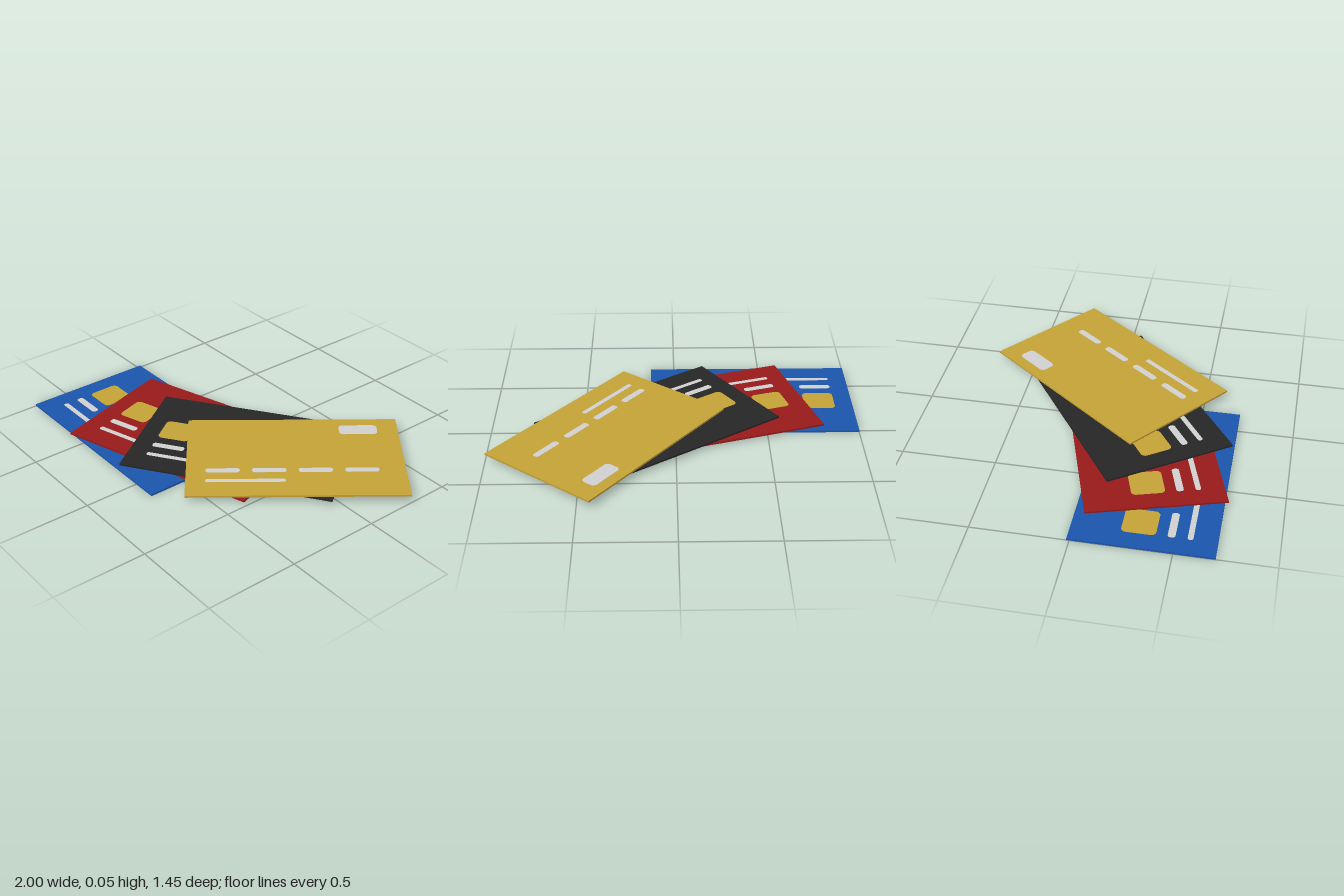
import * as THREE from 'three';

const CARD_W = 1.137, CARD_D = 0.718, CARD_T = 0.01;
const PROUD = 0.0005; // how far the inlays stand out of each face

// Flat rounded rectangle lying in the xz plane, centred on the origin
function roundedPlate(w, d, r, t) {
  const x = w / 2, y = d / 2;
  const s = new THREE.Shape();
  s.moveTo(-x + r, -y);
  s.lineTo(x - r, -y).absarc(x - r, -y + r, r, -Math.PI / 2, 0);
  s.lineTo(x, y - r).absarc(x - r, y - r, r, 0, Math.PI / 2);
  s.lineTo(-x + r, y).absarc(-x + r, y - r, r, Math.PI / 2, Math.PI);
  s.lineTo(-x, -y + r).absarc(-x + r, -y + r, r, Math.PI, Math.PI * 1.5);
  const g = new THREE.ExtrudeGeometry(s, { depth: t, bevelEnabled: false, curveSegments: 6 });
  g.rotateX(-Math.PI / 2);
  g.translate(0, -t / 2, 0);
  return g;
}

function material(name, color) {
  const m = new THREE.MeshStandardMaterial({ color });
  m.name = name;
  return m;
}

export function createModel() {
  const blue = material('blue', 0x1a55ac);
  const red = material('red', 0x981a1a);
  const black = material('black', 0x262626);
  const gold = material('gold', 0xc5a236);
  const silver = material('silver', 0xd0d0d0);

  const inlayT = CARD_T + 2 * PROUD;
  const body = new THREE.BoxGeometry(CARD_W, CARD_T, CARD_D);
  const chip = roundedPlate(0.172, 0.172, 0.025, inlayT);
  const badge = roundedPlate(0.207, 0.09, 0.025, inlayT);
  const dash = roundedPlate(0.177, 0.038, 0.015, inlayT);
  const line = roundedPlate(0.41, 0.028, 0.011, inlayT);

  // Inlays pass right through the card: [name, geometry, material, x, z]
  const inlays = [
    ['cornerBadge', badge, silver, 0.353, -0.252],
    ['smallLine', line, silver, -0.262, 0.225],
  ];
  for (let i = 0; i < 4; i++) {
    inlays.push([`numberDash${i + 1}`, dash, silver, -0.378 + i * 0.24, 0.133]);
  }

  // Fanned stack, bottom to top: [name, material, x, z, turn in degrees]
  const cards = [
    ['blueCard', blue, -0.4325, 0.345, 0],
    ['redCard', red, -0.164, 0.211, 17.2],
    ['blackCard', black, 0.1, 0.077, 34.4],
    ['goldCard', gold, 0.365, -0.055, 51.7],
  ];

  const model = new THREE.Group();
  model.name = 'fannedCards';
  cards.forEach(([name, mat, x, z, turn], level) => {
    const card = new THREE.Group();
    card.name = name;
    const add = (part, geometry, m, px, pz) => {
      const mesh = new THREE.Mesh(geometry, m);
      mesh.name = part;
      mesh.position.set(px, 0, pz);
      card.add(mesh);
    };
    add('cardBody', body, mat, 0, 0);
    inlays.forEach((inlay) => add(...inlay));
    // The gold card is plain gold where the others carry a chip
    if (mat !== gold) add('chip', chip, gold, -0.383, -0.028);
    card.position.set(x, inlayT / 2 + level * 0.0125, z);
    card.rotation.y = THREE.MathUtils.degToRad(turn);
    model.add(card);
  });
  return model;
}
